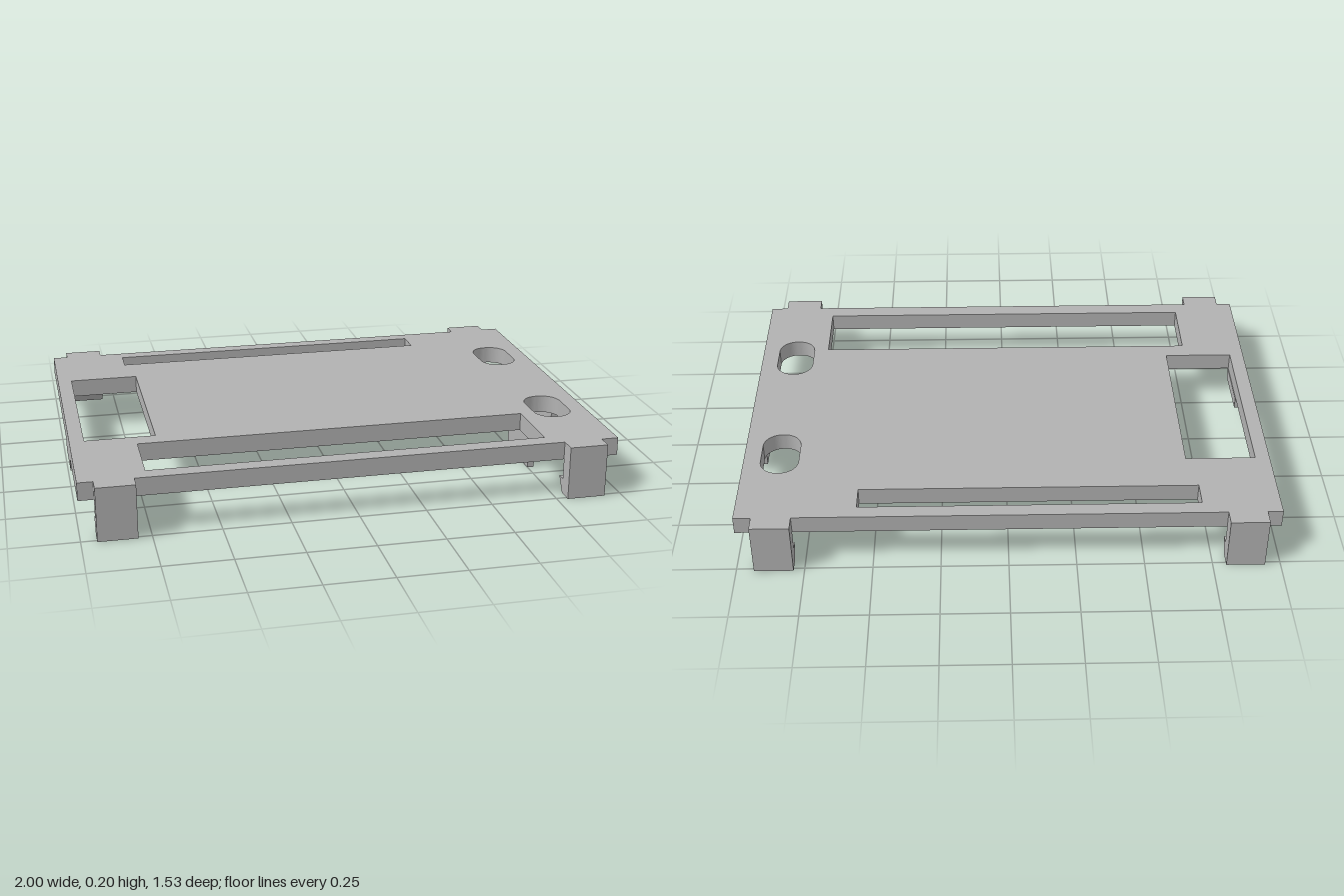
import * as THREE from 'three';

const TOP = 0.203, UNDER = 0.135;

// Points of a rectangle from (x0, z0) to (x1, z1)
function rectangle(x0, z0, x1, z1, Kind) {
  const s = new Kind();
  s.moveTo(x0, z0);
  s.lineTo(x1, z0);
  s.lineTo(x1, z1);
  s.lineTo(x0, z1);
  s.closePath();
  return s;
}

// Slot with rounded ends
function roundedSlot(x0, z0, x1, z1, r) {
  const p = new THREE.Path();
  p.moveTo(x1, z0 + r);
  p.lineTo(x1, z1 - r);
  p.absarc(x1 - r, z1 - r, r, 0, Math.PI / 2);
  p.absarc(x0 + r, z1 - r, r, Math.PI / 2, Math.PI);
  p.lineTo(x0, z0 + r);
  p.absarc(x0 + r, z0 + r, r, Math.PI, Math.PI * 1.5);
  p.absarc(x1 - r, z0 + r, r, Math.PI * 1.5, Math.PI * 2);
  return p;
}

export function createModel() {
  const model = new THREE.Group();
  model.name = 'clipOnPlate';
  const grey = new THREE.MeshStandardMaterial({ color: 0xb2b2b2 });
  grey.name = 'grey plastic';

  const add = (name, geometry) => {
    const mesh = new THREE.Mesh(geometry, grey);
    mesh.name = name;
    model.add(mesh);
    return mesh;
  };
  const block = (name, x0, x1, y0, y1, z0, z1) =>
    add(name, new THREE.BoxGeometry(x1 - x0, y1 - y0, z1 - z0))
      .position.set((x0 + x1) / 2, (y0 + y1) / 2, (z0 + z1) / 2);

  // Flat plate with three windows and two rounded slots
  const outline = rectangle(-1, -0.703, 1, 0.703, THREE.Shape);
  outline.holes.push(
    rectangle(-0.71, -0.647, 0.555, -0.547, THREE.Path),
    rectangle(-0.945, -0.385, -0.68, 0.308, THREE.Path),
    rectangle(-0.755, 0.38, 0.733, 0.64, THREE.Path),
    roundedSlot(0.79, -0.443, 0.935, -0.207, 0.068),
    roundedSlot(0.79, 0.204, 0.935, 0.44, 0.068),
  );
  const plate = new THREE.ExtrudeGeometry(outline, { depth: TOP - UNDER, bevelEnabled: false, curveSegments: 10 });
  plate.rotateX(Math.PI / 2);
  add('plate', plate).position.y = TOP;

  // Four clip legs with inward hooks at the feet
  const legProfile = [[0.763, 0], [0.763, TOP], [0.703, TOP], [0.703, 0.057], [0.669, 0.057], [0.703, 0]];
  for (const [end, side] of [['front', 1], ['back', -1]]) {
    for (const [hand, x0, x1] of [['Right', -0.943, -0.8], ['Left', 0.79, 0.935]]) {
      const shape = new THREE.Shape(legProfile.map(([z, y]) => new THREE.Vector2(side * z, y)));
      const leg = new THREE.ExtrudeGeometry(shape, { depth: x1 - x0, bevelEnabled: false });
      leg.rotateY(-Math.PI / 2);
      add(`${end}${hand}Clip`, leg).position.x = x1;
    }
  }

  // Thin ribs beside the rounded slots
  block('frontRib', 0.75, 0.775, 0, UNDER, 0.208, 0.44);
  block('backRib', 0.75, 0.775, 0, UNDER, -0.44, -0.204);

  // Stops under the two short edges
  block('leftStop', 0.943, 1, 0.035, UNDER, -0.175, 0.175);
  block('rightStop', -1, -0.943, 0.09, UNDER, 0.09, 0.308);

  return model;
}
